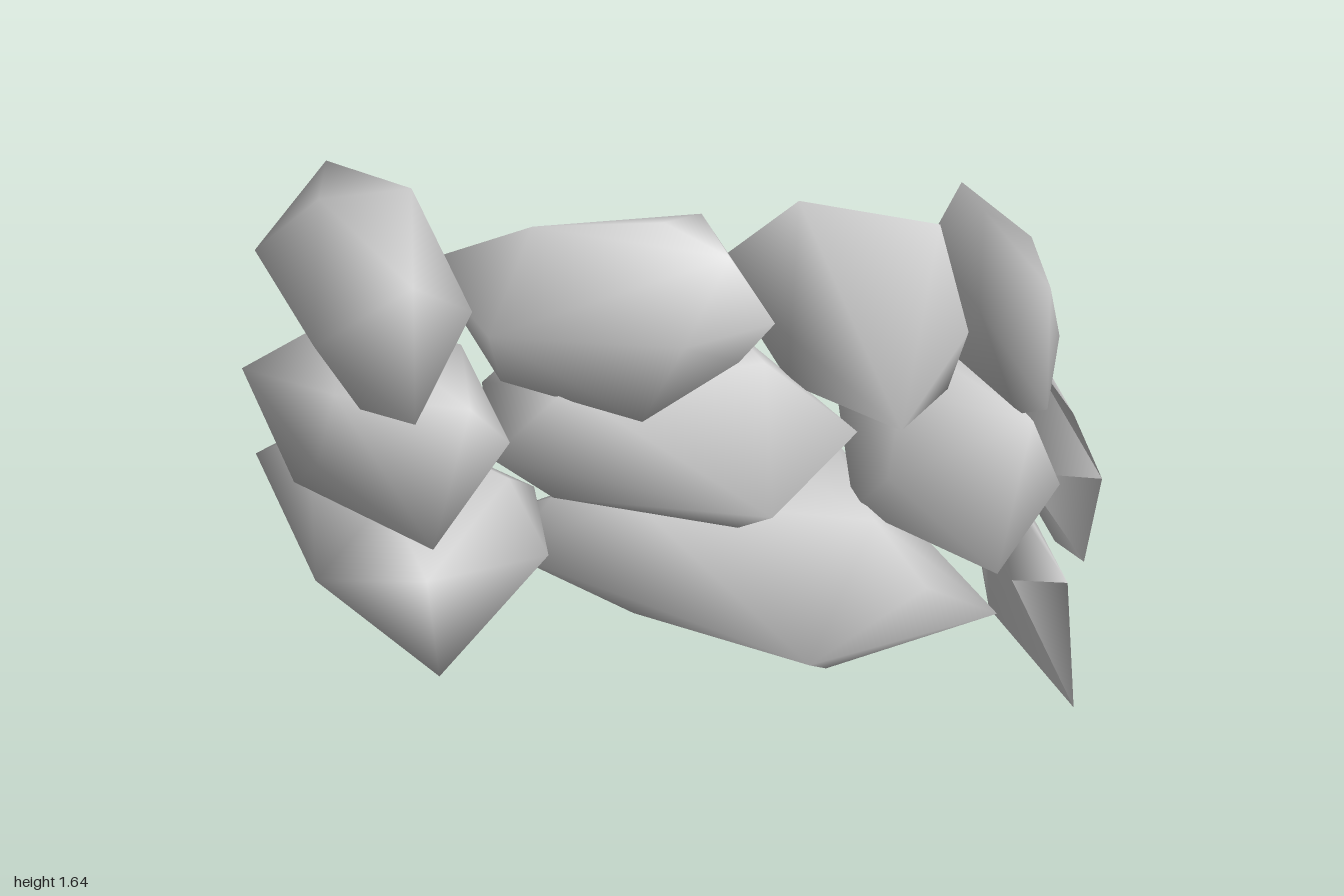
import * as THREE from 'three';
import { ConvexGeometry } from 'three/addons/geometries/ConvexGeometry.js';
import { mergeVertices } from 'three/addons/utils/BufferGeometryUtils.js';

const material = new THREE.MeshStandardMaterial({ color: 0xcccccc });

// A chunky faceted stone: a ring of side corners plus top and bottom corners, softly shaded.
function stone(name, ring, top, bottom) {
  const corners = [...ring, ...top, ...bottom].map((p) => new THREE.Vector3(...p));
  let geometry = new ConvexGeometry(corners);
  geometry.deleteAttribute('normal');
  geometry = mergeVertices(geometry, 1e-4);
  geometry.computeVertexNormals();
  const mesh = new THREE.Mesh(geometry, material);
  mesh.name = name;
  return mesh;
}

export function createModel() {
  const wall = new THREE.Group();
  wall.name = 'stoneWall';

  // Upper course, from the front end to the back end
  wall.add(
    stone('upperEndStone',
      [[-.77, 1.36, .77], [-.53, 1.3, .5], [-.26, 1.27, .55], [-.25, 1.48, .8], [-.42, 1.33, .98]],
      [[-.53, 1.64, .82], [-.71, 1.54, .56], [-.45, 1.56, .55]],
      [[-.75, 1.18, .62], [-.6, 1.07, .58], [-.37, 1.1, .86], [-.22, 1.1, .83]]),
    stone('upperLongStone',
      [[-.51, 1.25, .42], [-.47, 1.1, .2], [-.08, 1.14, -.2], [.19, 1.08, -.09], [.17, 1.18, .25], [-.17, 1.26, .6]],
      [[-.22, 1.44, .36], [.03, 1.39, 0], [-.01, 1.4, .1], [.15, 1.33, .04]],
      [[.1, .95, -.08], [.17, 1.02, .03], [.07, .94, .29], [-.28, .98, .41], [-.36, .93, .19], [-.15, .95, -.09]]),
    stone('upperRoundStone',
      [[-.12, 1.05, -.24], [0, .83, -.54], [.25, .87, -.62], [.25, 1.06, -.61], [.5, .98, -.47], [.5, .83, -.2], [.23, 1.05, -.1]],
      [[.14, 1.34, -.25], [.38, 1.23, -.51], [.06, 1.14, -.5]],
      [[.3, .77, -.3], [.12, .79, -.24], [.45, .8, -.45]]),
    stone('upperThinStone',
      [[.19, 1.1, -.84], [.2, 1, -.69], [.48, 1, -.54], [.7, .8, -.53], [.66, .95, -.63]],
      [[.4, 1.2, -.66], [.51, 1.14, -.71], [.64, 1.09, -.62]],
      [[.2, .8, -.83], [.58, .72, -.56], [.3, .74, -.64]]),
  );

  // Middle course
  wall.add(
    stone('middleEndStone',
      [[-.81, .99, .77], [-.42, 1.02, .39], [-.18, 1.07, .66], [-.15, .92, .54], [-.11, .81, .9], [-.42, .97, .97]],
      [[-.61, 1.16, .62], [-.45, 1.11, .86]],
      [[-.73, .76, .48], [-.75, .77, .7], [-.6, .77, .83], [-.4, .77, .43], [-.25, .76, .55]]),
    stone('middleLongStone',
      [[-.22, .84, .53], [-.44, .84, .28], [-.35, .78, 0], [-.02, .7, -.35], [.3, .7, -.28], [.33, .66, .1]],
      [[-.12, .99, .35], [.15, .94, -.1], [-.4, .9, .2], [-.05, .9, -.22]],
      [[.19, .55, .06], [-.17, .64, .34], [-.2, .61, -.17], [.12, .59, -.31]]),
    stone('middleRoundStone',
      [[-.02, .66, -.58], [0, .47, -.76], [.18, .68, -.8], [.7, .55, -.58], [.73, .45, -.29], [.45, .66, -.21]],
      [[.36, .79, -.38], [.1, .79, -.6], [.64, .73, -.55], [.15, .76, -.72]],
      [[.62, .39, -.45], [.18, .44, -.8], [.3, .41, -.5], [.28, .46, -.29]]),
    stone('middleThinStone',
      [[.17, .65, -.98], [.26, .66, -.97], [.68, .71, -.66], [.84, .63, -.57], [.83, .41, -.51]],
      [[.45, .76, -.76]],
      [[.2, .35, -.99], [.4, .34, -.79], [.7, .39, -.56], [.55, .5, -.62]]),
  );

  // Lower course
  wall.add(
    stone('lowerEndStone',
      [[-.86, .65, .65], [-.77, .69, .38], [-.3, .57, .25], [-.06, .6, .5], [-.09, .75, .95], [-.4, .65, 1]],
      [[-.67, .81, .68], [-.33, .82, .8], [-.2, .76, .48]],
      [[-.77, .48, .39], [-.33, .33, .47], [-.42, .36, .6], [-.09, .44, .9]]),
    stone('lowerLongStone',
      [[-.24, .49, .43], [-.46, .37, .12], [-.25, .25, -.42], [0, .23, -.57], [.62, .21, -.43], [.54, .35, -.25], [.43, .25, .08]],
      [[-.05, .6, .18], [.4, .51, -.22], [.15, .57, -.2], [-.3, .5, .18], [-.1, .5, -.38], [0, .42, -.55]],
      [[-.25, .24, .12], [-.09, .21, .12], [.38, .15, -.05], [.27, .13, -.14], [.25, .1, -.43]]),
    stone('lowerThinStone',
      [[.08, .08, -1], [.08, .33, -.98], [.81, .36, -.47], [.86, .03, -.43]],
      [[.36, .4, -.72], [.55, .2, -.58]],
      [[.4, 0, -.68], [.55, .02, -.64], [.45, .2, -.81]]),
  );

  return wall;
}
